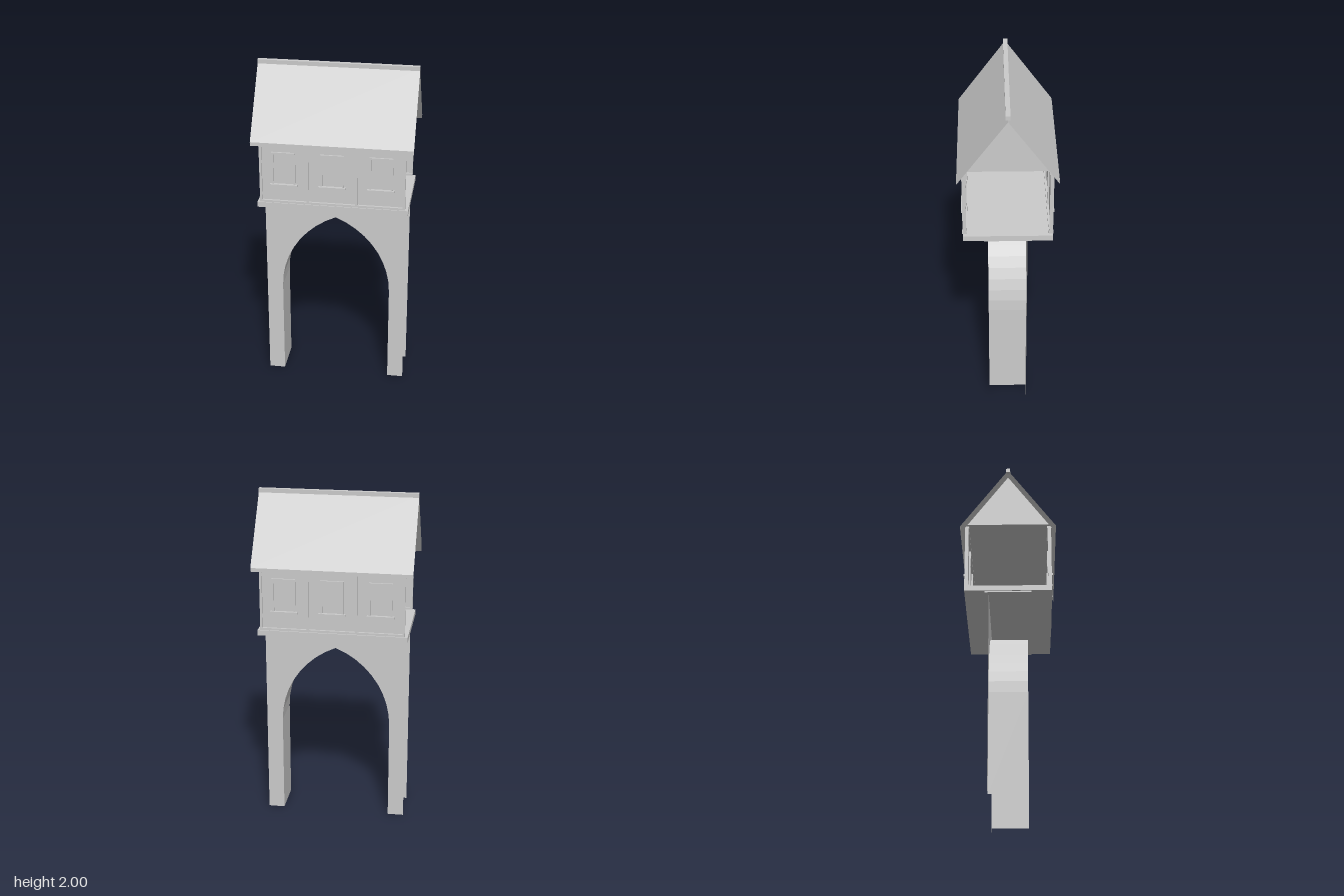
import * as THREE from 'three';

const material = new THREE.MeshStandardMaterial({ color: 0xcccccc, flatShading: true, side: THREE.DoubleSide });

function add(parent, name, geometry, x = 0, y = 0, z = 0) {
  const mesh = new THREE.Mesh(geometry, material);
  mesh.name = name;
  mesh.position.set(x, y, z);
  parent.add(mesh);
  return mesh;
}

// Box given by its limits on each axis
function box(parent, name, [x0, x1], [y0, y1], [z0, z1]) {
  return add(parent, name, new THREE.BoxGeometry(x1 - x0, y1 - y0, z1 - z0),
    (x0 + x1) / 2, (y0 + y1) / 2, (z0 + z1) / 2);
}

// Open sheet: a profile in x,y swept along z from -half to +half
function sheet(profile, half) {
  const positions = [], index = [];
  profile.forEach(([x, y], i) => {
    positions.push(x, y, half, x, y, -half);
    const a = 2 * i;
    if (i < profile.length - 1) index.push(a, a + 1, a + 2, a + 1, a + 3, a + 2);
  });
  const geometry = new THREE.BufferGeometry();
  geometry.setAttribute('position', new THREE.Float32BufferAttribute(positions, 3));
  geometry.setIndex(index);
  const flat = geometry.toNonIndexed();
  flat.computeVertexNormals();
  return flat;
}

const flatShape = (points) =>
  new THREE.ShapeGeometry(new THREE.Shape(points.map(([x, y]) => new THREE.Vector2(x, y))));

// Pointed arch opening: two arcs springing from vertical jambs
function archProfile() {
  const halfWidth = 0.325, spring = 0.6, rise = 0.48, steps = 9;
  const radius = (halfWidth ** 2 + rise ** 2) / (2 * halfWidth);
  const sweep = Math.asin(rise / radius);
  const left = [[-halfWidth, 0]];
  for (let i = 0; i <= steps; i++) {
    const a = sweep * i / steps;
    left.push([radius - halfWidth - radius * Math.cos(a), spring + radius * Math.sin(a)]);
  }
  left[left.length - 1][0] = 0;
  const right = left.slice(0, -1).reverse().map(([x, y]) => [-x, y]);
  return [...left, ...right];
}

function createArch() {
  const arch = new THREE.Group();
  arch.name = 'supportArch';
  const profile = archProfile(), depth = 0.112;
  const outline = [...profile, [0.42, 0], [0.42, 1.18], [-0.42, 1.18], [-0.42, 0]];
  add(arch, 'archFront', flatShape(outline), 0, 0, depth);
  add(arch, 'archBack', flatShape(outline), 0, 0, -depth).rotation.y = Math.PI;
  add(arch, 'archReveal', sheet(profile, depth));
  return arch;
}

// One long side wall, facing +z
function createWall() {
  const wall = new THREE.Group();
  wall.name = 'sideWall';
  const face = 0.243, deep = [0.233, 0.254];
  add(wall, 'wallPanel', new THREE.PlaneGeometry(0.83, 0.38), 0, 1.42, face);
  box(wall, 'bottomRail', [-0.42, 0.42], [1.223, 1.236], [0.23, 0.256]);
  box(wall, 'topRail', [-0.42, 0.42], [1.61, 1.624], [0.23, 0.256]);
  for (const x of [-0.413, -0.141, 0.141, 0.413]) {
    box(wall, 'post', [x - 0.007, x + 0.007], [1.236, 1.61], deep);
  }

  // Framed windows with sills
  for (const x of [-0.28, 0, 0.28]) {
    const w = 0.068, t = 0.011, front = [face, 0.253];
    for (const s of [-1, 1]) {
      const cx = x + s * (w - t / 2);
      box(wall, 'windowJamb', [cx - t / 2, cx + t / 2], [1.34, 1.535], front);
    }
    box(wall, 'windowHead', [x - w + t, x + w - t], [1.524, 1.535], front);
    box(wall, 'windowSill', [x - 0.079, x + 0.079], [1.327, 1.34], [face, 0.262]);
  }
  return wall;
}

function createRoof() {
  const roof = new THREE.Group();
  roof.name = 'roof';
  // Outer slopes, eave fascias and undersides, open at the gable ends
  const covering = [[0, 1.965], [-0.281, 1.58], [-0.281, 1.602], [0, 1.987], [0.281, 1.602], [0.281, 1.58], [0, 1.965]];
  add(roof, 'roofCovering', sheet(covering, 0.463)).rotation.y = Math.PI / 2;
  // Gables and ceiling
  for (const s of [-1, 1]) {
    const gable = flatShape([[-0.241, 1.635], [0.241, 1.635], [0, 1.965]]);
    add(roof, 'gable', gable, s * 0.42).rotation.y = s * Math.PI / 2;
  }
  add(roof, 'ceiling', new THREE.PlaneGeometry(0.84, 0.482), 0, 1.635).rotation.x = Math.PI / 2;
  box(roof, 'ridgeCap', [-0.463, 0.463], [1.976, 2], [-0.013, 0.013]);
  return roof;
}

export function createModel() {
  const model = new THREE.Group();
  model.name = 'coveredBridge';
  model.add(createArch());

  // Floor slab with a shallow bearer under it
  box(model, 'floor', [-0.437, 0.437], [1.187, 1.219], [-0.253, 0.253]);
  box(model, 'floorBearer', [-0.43, 0.43], [1.179, 1.187], [-0.135, 0.135]);

  for (const turn of [0, Math.PI]) {
    const wall = createWall();
    wall.rotation.y = turn;
    model.add(wall);
  }
  model.add(createRoof());
  return model;
}
